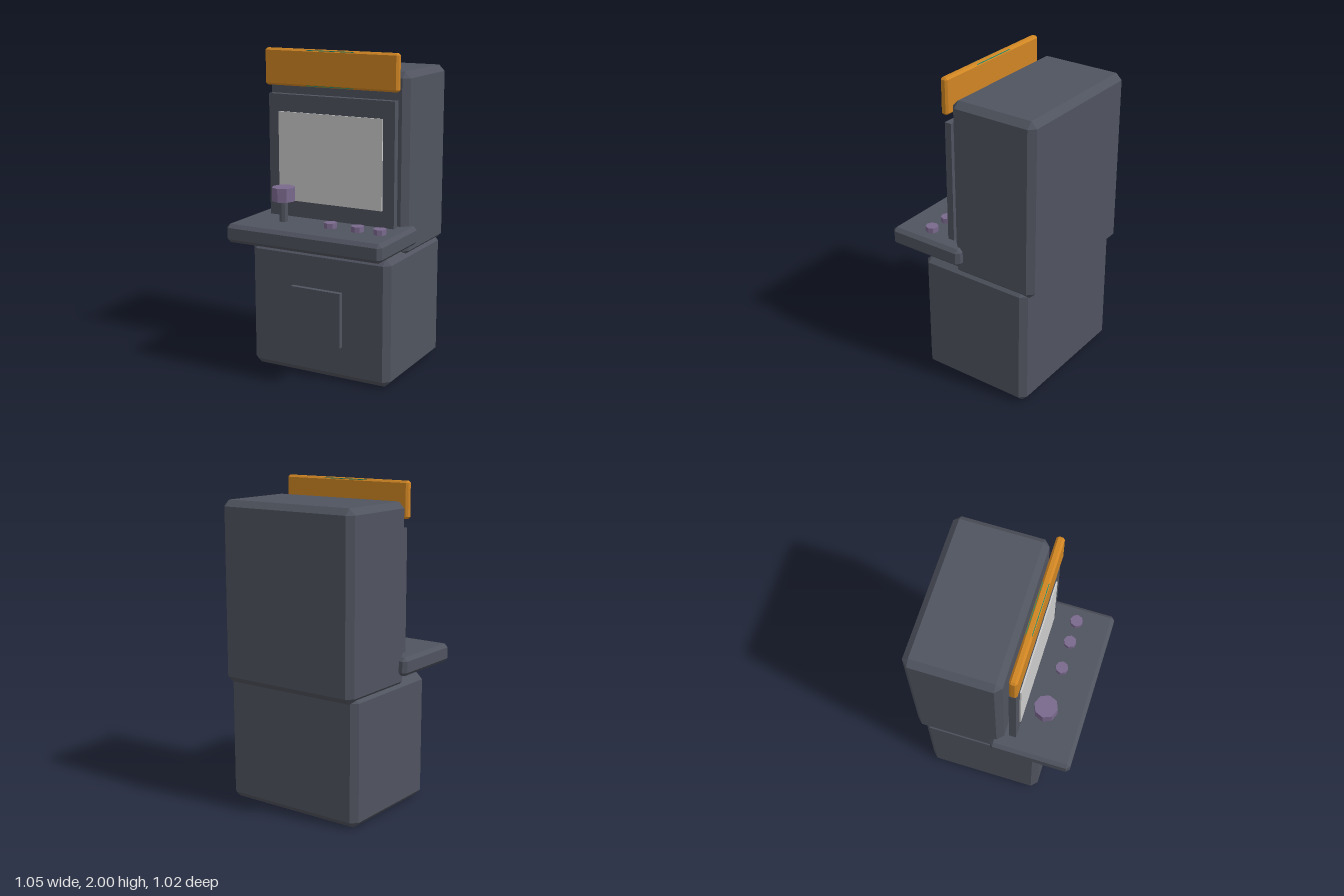
import * as THREE from 'three';
import { ConvexGeometry } from 'three/addons/geometries/ConvexGeometry.js';

const mat = (name, color) => {
  const m = new THREE.MeshStandardMaterial({ color });
  m.name = name;
  return m;
};

// Box between two corners with all edges chamfered by c
function chamferBox([x0, y0, z0], [x1, y1, z1], c) {
  const h = [(x1 - x0) / 2, (y1 - y0) / 2, (z1 - z0) / 2];
  const points = [];
  for (const sx of [-1, 1]) for (const sy of [-1, 1]) for (const sz of [-1, 1])
    for (let axis = 0; axis < 3; axis++) {
      const p = h.map((v, i) => (i === axis ? v : v - c));
      points.push(new THREE.Vector3(sx * p[0], sy * p[1], sz * p[2]));
    }
  return new ConvexGeometry(points).translate((x0 + x1) / 2, (y0 + y1) / 2, (z0 + z1) / 2);
}

// Plain box between two corners
function box([x0, y0, z0], [x1, y1, z1]) {
  return new THREE.BoxGeometry(x1 - x0, y1 - y0, z1 - z0)
    .translate((x0 + x1) / 2, (y0 + y1) / 2, (z0 + z1) / 2);
}

// Upright eight-sided cylinder, made faceted
function octagon(radius, y0, y1, x, z) {
  const g = new THREE.CylinderGeometry(radius, radius, y1 - y0, 8).toNonIndexed();
  g.computeVertexNormals();
  return g.translate(x, (y0 + y1) / 2, z);
}

export function createModel() {
  const group = new THREE.Group();
  group.name = 'arcadeCabinet';
  const slate = mat('slate', 0x50545f);
  const purple = mat('purple', 0x7a698e);
  const orange = mat('orange', 0xd08523);
  const teal = mat('teal', 0x1f8a6c);
  const grey = mat('screenGrey', 0xcccccc);

  const add = (name, geometry, material) => {
    const mesh = new THREE.Mesh(geometry, material);
    mesh.name = name;
    group.add(mesh);
  };

  // Cabinet
  add('lowerCabinet', chamferBox([-0.48, 0, -0.46], [0.48, 0.805, 0.297], 0.038), slate);
  add('upperCabinet', chamferBox([-0.48, 0.765, -0.508], [0.48, 1.886, 0.065], 0.038), slate);
  add('controlPanel', chamferBox([-0.527, 0.842, -0.01], [0.527, 0.957, 0.507], 0.022), slate);
  add('coinDoor', box([-0.175, 0.22, 0.3], [0.17, 0.567, 0.33]), slate);

  // Screen
  add('screenBezel', box([-0.432, 0.95, 0.093], [0.432, 1.722, 0.137]), slate);
  add('screen', box([-0.36, 1.06, 0.137], [0.355, 1.615, 0.146]), grey);

  // Marquee with slim teal strips along its long edges
  add('marquee', chamferBox([-0.453, 1.775, 0.1], [0.453, 2, 0.148], 0.012), orange);
  for (const y of [1.782, 1.993]) for (const z of [0.107, 0.141])
    add('marqueeStrip', box([-0.16, y - 0.003, z - 0.003], [0.16, y + 0.003, z + 0.003]), teal);

  // Joystick and buttons
  add('joystickShaft', octagon(0.027, 0.95, 1.087, -0.253, 0.271), slate);
  add('joystickKnob', octagon(0.073, 1.087, 1.172, -0.253, 0.271), purple);
  for (const x of [0.08, 0.263, 0.411]) add('button', octagon(0.04, 0.95, 0.99, x, 0.28), purple);

  return group;
}
